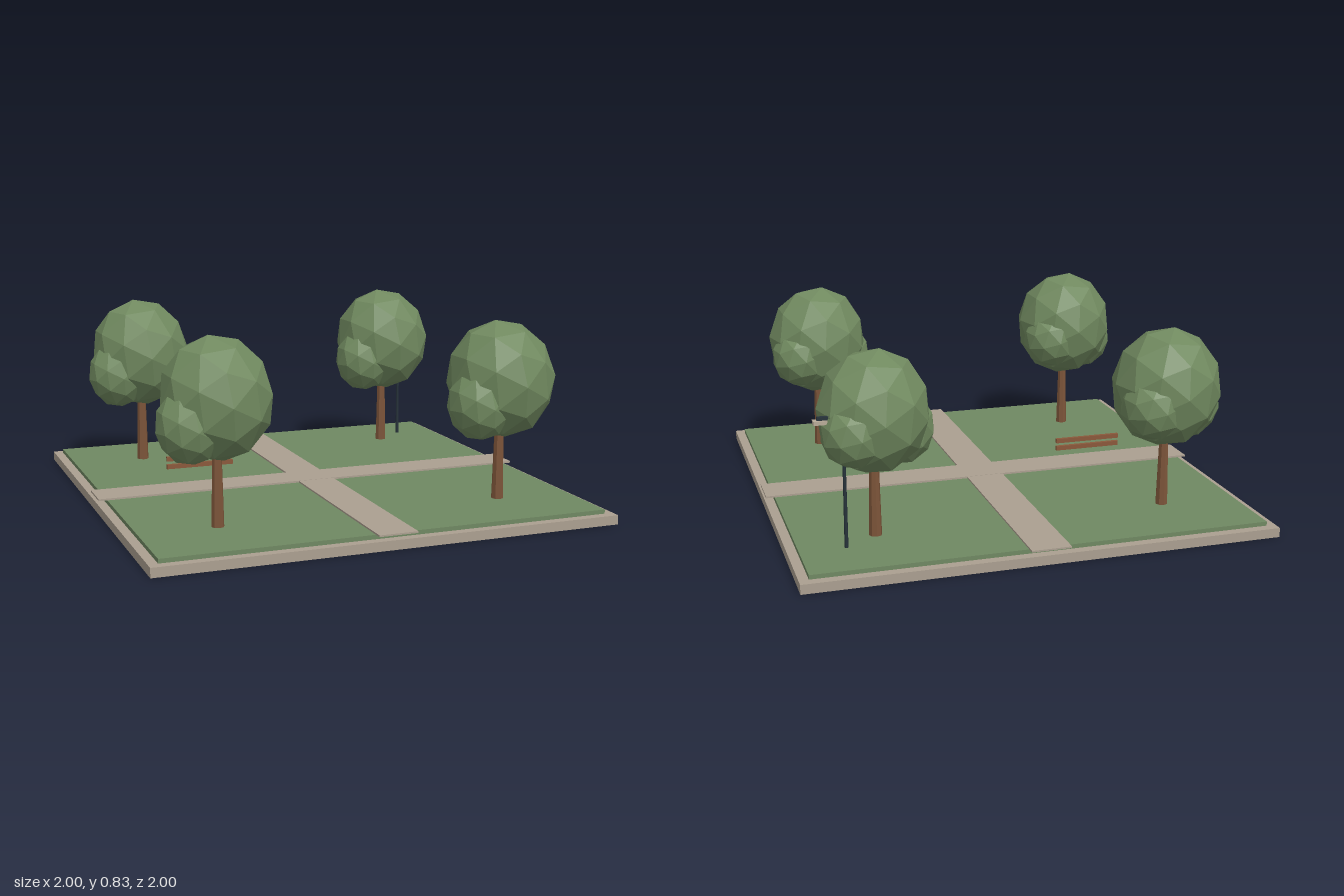
import * as THREE from 'three';

const mat = (name, color, flat = false) => {
  const m = new THREE.MeshStandardMaterial({ color, flatShading: flat });
  m.name = name;
  return m;
};

export function createModel() {
  const park = new THREE.Group();
  park.name = 'park';
  const stone = mat('stone', 0xab9f90);
  const grass = mat('grass', 0x6f8862);
  const leaf = mat('leaf', 0x70895f, true);
  const bark = mat('bark', 0x7c5439, true);
  const wood = mat('wood', 0x8a583a);
  const iron = mat('iron', 0x26323a);
  const glass = mat('lampGlass', 0xb8ab98);

  const add = (parent, name, geometry, material, x, y, z) => {
    const mesh = new THREE.Mesh(geometry, material);
    mesh.name = name;
    mesh.position.set(x, y, z);
    parent.add(mesh);
    return mesh;
  };
  // Box given by its bottom height
  const box = (parent, name, material, w, h, d, x, y, z) =>
    add(parent, name, new THREE.BoxGeometry(w, h, d), material, x, y + h / 2, z);

  // Ground slab, lawn and crossing paths
  box(park, 'baseSlab', stone, 2, 0.04, 2, 0, 0, 0);
  box(park, 'lawn', grass, 1.92, 0.018, 1.92, 0, 0.04, 0);
  box(park, 'pathAcross', stone, 1.995, 0.008, 0.167, 0, 0.058, 0);
  box(park, 'pathAlong', stone, 0.167, 0.007, 1.99, 0, 0.058, 0);

  // Trees: tapered trunk, big crown and two side clumps
  const crownGeo = new THREE.IcosahedronGeometry(1, 1);
  const trunkGeo = new THREE.CylinderGeometry(0.019, 0.027, 0.34, 8);
  const clumps = [
    ['crown', 0, 0.58, 0, 0.23, 0.256, 0.235, 0.12],
    ['leftClump', 0.09, 0.525, -0.085, 0.14, 0.145, 0.14, 0.3],
    ['rightClump', -0.125, 0.487, 0.055, 0.138, 0.154, 0.14, 0.12],
  ];
  for (const x of [-0.63, 0.63]) {
    for (const z of [-0.63, 0.63]) {
      const tree = new THREE.Group();
      tree.name = 'tree';
      tree.position.set(x, 0, z);
      add(tree, 'trunk', trunkGeo, bark, 0, 0.22, 0);
      for (const [name, cx, cy, cz, rx, ry, rz, tilt] of clumps) {
        const clump = add(tree, name, crownGeo, leaf, cx, cy, cz);
        clump.scale.set(rx, ry, rz);
        clump.rotation.z = tilt;
      }
      park.add(tree);
    }
  }

  // Bench slats
  const bench = new THREE.Group();
  bench.name = 'bench';
  for (const y of [0.14, 0.175]) box(bench, 'benchSlat', wood, 0.305, 0.02, 0.016, -0.508, y, -0.05);
  park.add(bench);

  // Street lamp: pole, arm and head
  const lamp = new THREE.Group();
  lamp.name = 'lamp';
  lamp.position.set(0.77, 0, -0.732);
  add(lamp, 'lampPole', new THREE.CylinderGeometry(0.006, 0.008, 0.542, 8), iron, 0, 0.329, 0);
  box(lamp, 'lampArm', iron, 0.105, 0.014, 0.016, 0.05, 0.592, 0);
  box(lamp, 'lampHead', glass, 0.055, 0.016, 0.034, 0.09, 0.576, 0);
  park.add(lamp);

  return park;
}
